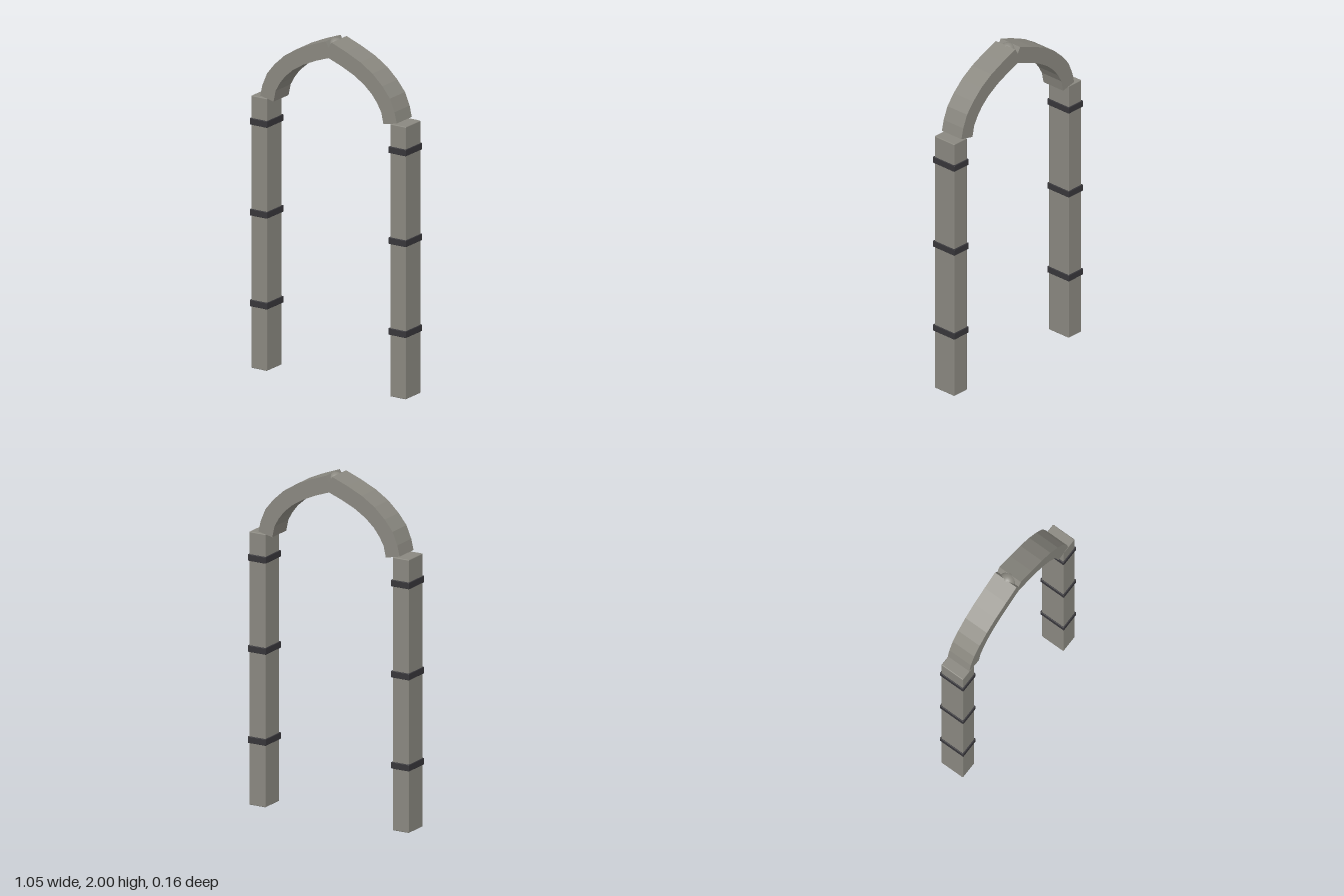
import * as THREE from 'three';
import { RoundedBoxGeometry } from 'three/addons/geometries/RoundedBoxGeometry.js';

export function createModel() {
  const model = new THREE.Group();
  model.name = 'archway';
  const stone = new THREE.MeshStandardMaterial({ color: 0x8a8880 });
  const facetedStone = new THREE.MeshStandardMaterial({ color: 0x8a8880, flatShading: true });
  const iron = new THREE.MeshStandardMaterial({ color: 0x37363a });

  const add = (name, geometry, material, x, y, z) => {
    const mesh = new THREE.Mesh(geometry, material);
    mesh.name = name;
    mesh.position.set(x, y, z);
    model.add(mesh);
  };

  const pillarHeight = 1.59, pillarX = 0.467, archDepth = 0.149;

  // Arch outline, from the crown notch down to the springing, then back up inside
  const outer = [[0, 1.96], [0.02, 1.994], [0.118, 1.957], [0.214, 1.914], [0.296, 1.862],
    [0.363, 1.8], [0.414, 1.737], [0.445, 1.663], [0.46, 1.6]];
  const inner = [[0.37, 1.58], [0.356, 1.645], [0.33, 1.692], [0.293, 1.74], [0.24, 1.787],
    [0.17, 1.831], [0.085, 1.869], [0, 1.9]];

  const pillarGeometry = new RoundedBoxGeometry(0.106, pillarHeight, 0.15, 2, 0.005);
  const bandGeometry = new RoundedBoxGeometry(0.118, 0.038, 0.164, 2, 0.003);

  for (const [side, label] of [[1, 'left'], [-1, 'right']]) {
    add(label + 'Pillar', pillarGeometry, stone, side * pillarX, pillarHeight / 2, 0);

    // Dark bands round the pillar
    [0.38, 0.91, 1.44].forEach((y, i) => {
      add(label + 'Band' + (i + 1), bandGeometry, iron, side * pillarX, y, 0);
    });

    // Faceted half of the pointed arch
    const shape = new THREE.Shape([...outer, ...inner].map(([x, y]) => new THREE.Vector2(side * x, y)));
    const half = new THREE.ExtrudeGeometry(shape, { depth: archDepth, bevelEnabled: false });
    add(label + 'ArchHalf', half, facetedStone, 0, 0, -archDepth / 2);
  }

  // Round boss set in the crown notch
  add('crownBoss', new THREE.SphereGeometry(0.048, 24, 16), stone, 0, 1.952, 0);

  return model;
}
